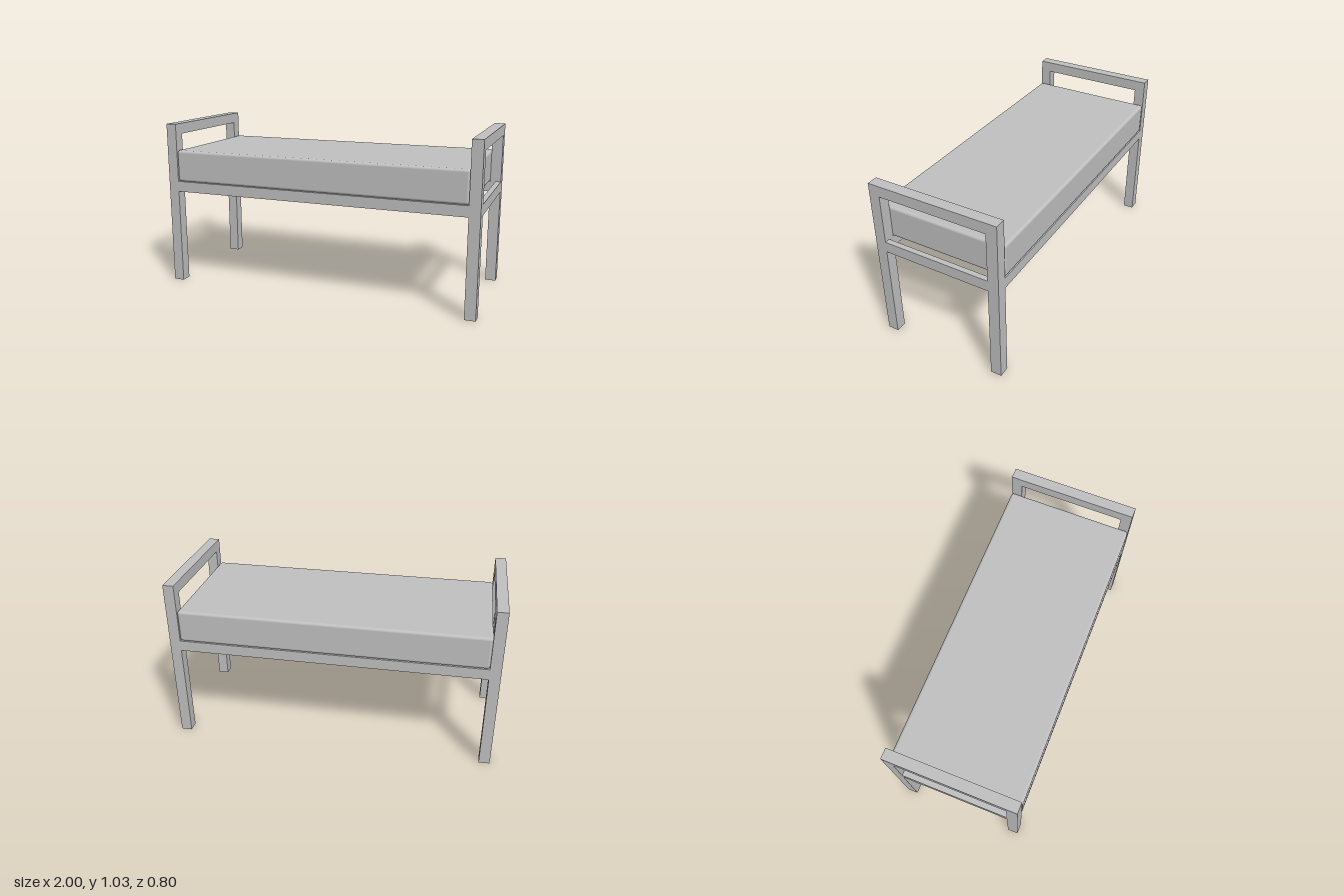
import * as THREE from 'three';
import { RoundedBoxGeometry } from 'three/addons/geometries/RoundedBoxGeometry.js';

export function createModel() {
  const group = new THREE.Group();
  group.name = 'bench';
  const grey = new THREE.MeshStandardMaterial({ color: 0xc0c0c0 });
  grey.name = 'grey';

  const T = 1 / 15; // width of the square bars
  const H = 31 / 30; // overall height
  const D = 0.4; // half depth
  const seatY = 0.6; // underside of the seat rails

  const add = (name, geometry, x, y, z) => {
    const mesh = new THREE.Mesh(geometry, grey);
    mesh.name = name;
    mesh.position.set(x, y, z);
    group.add(mesh);
  };

  // End frames: posts and armrest cut from one outline, with a thinner rail flush outside
  const outline = new THREE.Shape([
    [-D, 0], [-D + T, 0], [-D + T, H - T], [D - T, H - T],
    [D - T, 0], [D, 0], [D, H], [-D, H],
  ].map(([z, y]) => new THREE.Vector2(z, y)));
  const frame = new THREE.ExtrudeGeometry(outline, { depth: T, bevelEnabled: false });
  frame.translate(0, 0, -T / 2);
  frame.rotateY(Math.PI / 2);
  for (const [side, s] of [['left', 1], ['right', -1]]) {
    add(side + 'EndFrame', frame, s * (1 - T / 2), 0, 0);
    add(side + 'EndRail', new THREE.BoxGeometry(T / 2, T, 2 * (D - T)), s * (1 - T / 4), seatY + T / 2, 0);
  }

  // Long seat rails
  for (const [side, s] of [['front', 1], ['back', -1]]) {
    add(side + 'Rail', new THREE.BoxGeometry(2 - 2 * T, T, T), 0, seatY + T / 2, s * (D - T / 2));
  }

  // Cushion with softly rounded edges
  add('cushion', new RoundedBoxGeometry(2 - 2 * T, 0.2, 2 * D, 5, 0.017), 0, seatY + T + 0.1, 0);

  return group;
}
